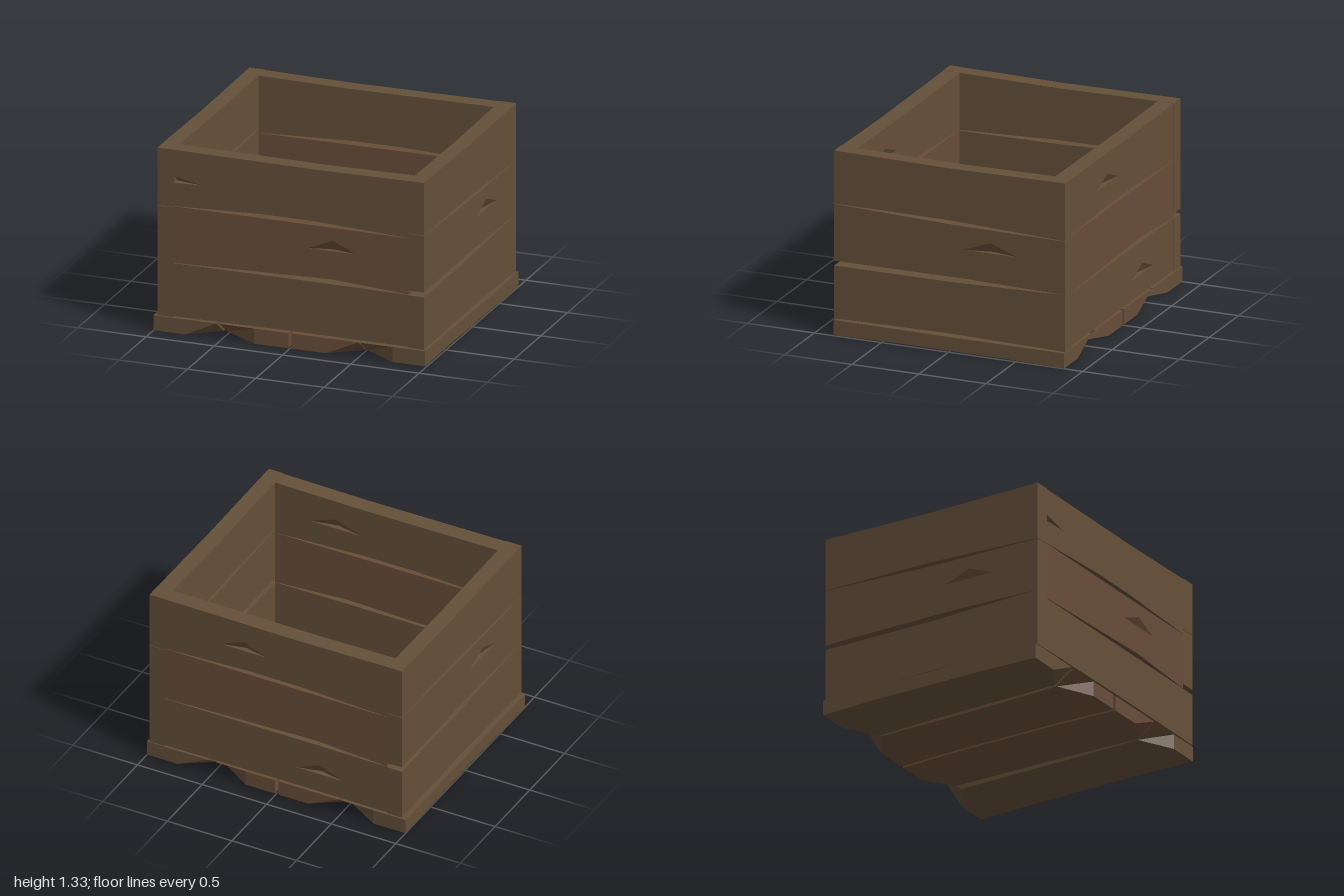
import * as THREE from 'three';

const brownWood = new THREE.MeshStandardMaterial({ color: 0x655039 });
brownWood.name = 'brown wood';
const reddishWood = new THREE.MeshStandardMaterial({ color: 0x684d39 });
reddishWood.name = 'reddish wood';

const V2 = (p) => new THREE.Vector2(p[0], p[1]);
const DEPTH = 0.04; // depth of a chipped splinter

// Wall board: outline in u (along) and v (up), outer face at w = 0, inner face at w = -t.
// A chip is [a, b, peak, pit] where the pit point is sunk into the face.
function boardGeometry(bottom, top, t, outerChips = [], innerChips = []) {
  const outline = [...bottom, ...[...top].reverse()];
  const pos = [];
  const tri = (a, b, c) => pos.push(...a, ...b, ...c);
  const at = (p, w) => [p[0], p[1], w];

  const face = (chips, w, inward, flip) => {
    const put = (a, b, c) => (flip ? tri(a, c, b) : tri(a, b, c));
    const holes = chips.map(([a, b, c]) => [a, c, b]);
    const all = [...outline, ...holes.flat()];
    const faces = THREE.ShapeUtils.triangulateShape(outline.map(V2), holes.map((h) => h.map(V2)));
    for (const [i, j, k] of faces) put(at(all[i], w), at(all[j], w), at(all[k], w));
    for (const [a, b, c, p] of chips) {
      const pit = at(p, w + inward);
      put(at(a, w), at(b, w), pit);
      put(at(b, w), at(c, w), pit);
      put(at(c, w), at(a, w), pit);
    }
  };
  face(outerChips, 0, -DEPTH, false);
  face(innerChips, -t, DEPTH, true);

  // Edges around the board
  outline.forEach((p, i) => {
    const q = outline[(i + 1) % outline.length];
    tri(at(p, 0), at(p, -t), at(q, -t));
    tri(at(p, 0), at(q, -t), at(q, 0));
  });
  const g = new THREE.BufferGeometry();
  g.setAttribute('position', new THREE.Float32BufferAttribute(pos, 3));
  g.computeVertexNormals();
  return g;
}

// Flat-bottomed splinter chip
const chip = (u0, u1, v, h = 0.075) => {
  const m = (u0 + u1) / 2;
  return [[u0, v], [u1, v], [m, v + h], [m, v]];
};
// Wedge chip beside a corner joint
const wedge = (u, v) => [[u, v], [u + 0.21, v + 0.005], [u, v + 0.045], [u + 0.01, v + 0.005]];

function addWall(group, name, boards, place) {
  const wall = new THREE.Group();
  wall.name = name;
  boards.forEach(({ bottom, top, t, outer, inner, mat }, i) => {
    const mesh = new THREE.Mesh(boardGeometry(bottom, top, t, outer, inner), mat);
    mesh.name = name + 'Board' + (i + 1);
    wall.add(mesh);
  });
  place(wall);
  group.add(wall);
}

// Boards of a front or back wall, bowed slightly along their edges
function endBoards(l, r, chips) {
  return [
    { bottom: [[l, 0.12], [0, 0.128], [r, 0.125]], top: [[l, 0.505], [0.3, 0.505], [r, 0.502]],
      t: 0.12, outer: chips.low, mat: brownWood },
    { bottom: [[l, 0.508], [0.3, 0.54], [r, 0.505]], top: [[l, 0.918], [0, 0.916], [r, 0.912]],
      t: 0.12, outer: chips.mid, mat: reddishWood },
    { bottom: [[l, 0.92], [-0.2, 0.946], [0.2, 0.944], [r, 0.914]], top: [[l, 1.328], [0.2, 1.32], [r, 1.328]],
      t: 0.12, outer: chips.high, inner: chips.inside, mat: brownWood },
  ];
}

// Boards of a side wall, running the full depth
function sideBoards() {
  const e = 0.86;
  return [
    { bottom: [[-e, 0.12], [0, 0.13], [e, 0.115]], top: [[-e, 0.5], [0, 0.502], [e, 0.525]],
      t: 0.115, mat: brownWood },
    { bottom: [[-e, 0.535], [0.1, 0.54], [e, 0.525]], top: [[-e, 0.945], [0, 0.917], [e, 0.91]],
      t: 0.115, outer: [chip(0.11, 0.5, 0.748)], mat: brownWood },
    { bottom: [[-e, 0.948], [0, 0.946], [e, 0.913]], top: [[-e, 1.33], [0, 1.32], [e, 1.33]],
      t: 0.115, mat: brownWood },
  ];
}

// Floor board: x edges given at back, middle and front; the edge on the chipped side is cut under at both ends
function floorBoard(left, right, chipSide) {
  const g = new THREE.BoxGeometry(2, 0.1, 1.72, 2, 1, 4);
  const p = g.attributes.position;
  for (let i = 0; i < p.count; i++) {
    const x = p.getX(i), y = p.getY(i), z = p.getZ(i);
    const s = z / 0.86; // -1 back, 0 middle, 1 front
    const edge = (a) => THREE.MathUtils.lerp(a[1], s < 0 ? a[0] : a[2], Math.abs(s));
    const lowEnd = Math.abs(s) > 0.99 && y < 0;
    const chipped = lowEnd && x * chipSide > 0.5;
    p.setXYZ(
      i,
      THREE.MathUtils.lerp(edge(left), edge(right), (x + 1) / 2),
      y + (lowEnd && !chipped ? 0.05 : 0.06),
      chipped ? z - Math.sign(z) * 0.14 : z,
    );
  }
  const flat = g.toNonIndexed();
  flat.computeVertexNormals();
  return flat;
}

export function createModel() {
  const crate = new THREE.Group();
  crate.name = 'crate';

  // Floor
  const floor = new THREE.Group();
  floor.name = 'floor';
  [
    [[-1, -1, -1], [-0.5, -0.528, -0.54], 1, brownWood],
    [[-0.48, -0.485, -0.515], [-0.015, -0.015, -0.012], -1, reddishWood],
    [[0.01, 0.01, 0.012], [0.47, 0.475, 0.505], 1, reddishWood],
    [[0.53, 0.525, 0.51], [1, 1, 0.99], -1, brownWood],
  ].forEach(([l, r, side, mat], i) => {
    const mesh = new THREE.Mesh(floorBoard(l, r, side), mat);
    mesh.name = 'floorBoard' + (i + 1);
    floor.add(mesh);
  });
  crate.add(floor);

  // Walls
  addWall(crate, 'frontWall', endBoards(-0.857, 0.867, {
    mid: [chip(0.13, 0.49, 0.745)],
    high: [wedge(-0.85, 1.09)],
    inside: [chip(0.2, 0.6, 1.1)],
  }), (w) => w.position.set(0, 0, 0.857));
  addWall(crate, 'backWall', endBoards(-0.867, 0.857, {
    low: [chip(0.15, 0.52, 0.27)],
    high: [chip(-0.43, -0.08, 1.1)],
  }), (w) => { w.position.set(0, 0, -0.857); w.rotation.y = Math.PI; });
  addWall(crate, 'leftWall', sideBoards(), (w) => { w.position.x = 0.982; w.rotation.y = Math.PI / 2; });
  addWall(crate, 'rightWall', sideBoards(), (w) => { w.position.x = -0.972; w.rotation.y = -Math.PI / 2; });

  return crate;
}
